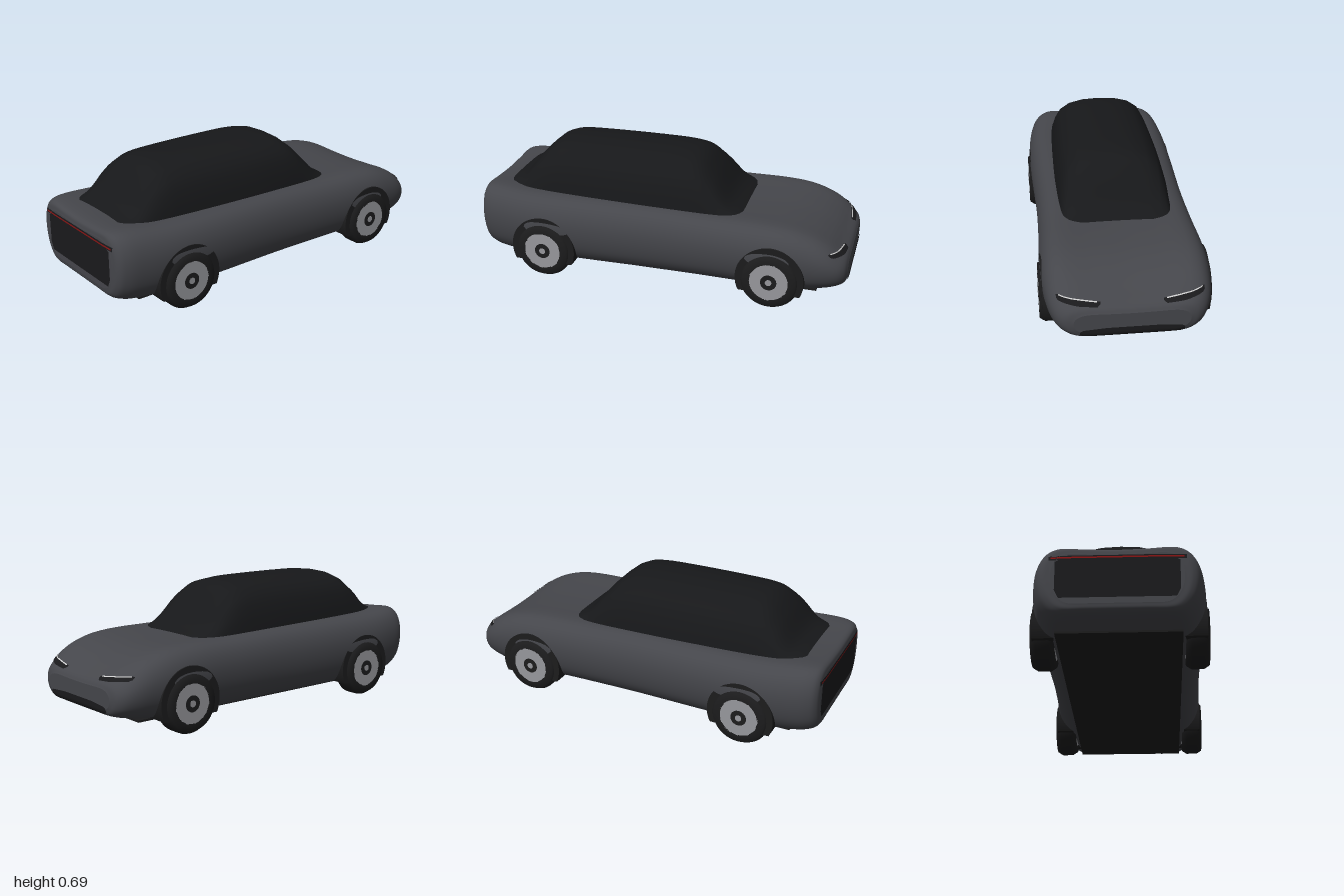
import * as THREE from 'three';

const mat = (color, extra = {}) => new THREE.MeshStandardMaterial({ color, ...extra });
const paint = mat(0x45464b), glass = mat(0x17181a), rubber = mat(0x1c1c1d);
const trim = mat(0x1a1a1c, { side: THREE.DoubleSide }), alloy = mat(0x97989c);
const lamp = mat(0xf2f2f2, { side: THREE.DoubleSide }), red = mat(0x8c1414, { side: THREE.DoubleSide });

function mesh(name, geometry, material) {
  const m = new THREE.Mesh(geometry, material);
  m.name = name;
  return m;
}

// Skins rings that run along +x; closed rings also get end caps
function loft(rings, closed) {
  const pos = [], idx = [], n = rings[0].length, cols = closed ? n : n - 1;
  rings.forEach(r => r.forEach(p => pos.push(...p)));
  for (let i = 0; i < rings.length - 1; i++) {
    for (let j = 0; j < cols; j++) {
      const a = i * n + j, b = i * n + (j + 1) % n;
      idx.push(a, a + n, b, b, a + n, b + n);
    }
  }
  if (closed) {
    [rings[0], rings[rings.length - 1]].forEach((r, end) => {
      const start = pos.length / 3;
      r.forEach(p => pos.push(...p));
      const ys = r.map(p => p[1]);
      pos.push(r[0][0], (Math.min(...ys) + Math.max(...ys)) / 2, 0);
      for (let j = 0; j < n; j++) {
        const a = start + j, b = start + (j + 1) % n;
        idx.push(start + n, ...(end ? [b, a] : [a, b]));
      }
    });
  }
  const g = new THREE.BufferGeometry();
  g.setAttribute('position', new THREE.Float32BufferAttribute(pos, 3));
  g.setIndex(idx);
  g.computeVertexNormals();
  return g;
}

// Smoothly resamples stations of [x, halfWidth, bottom, top]
function sampleStations(stations, count) {
  const curve = f => new THREE.CatmullRomCurve3(stations.map(f), false, 'catmullrom', 0.5);
  const a = curve(s => new THREE.Vector3(s[0], s[1], 0));
  const b = curve(s => new THREE.Vector3(s[2], s[3], 0));
  return Array.from({ length: count + 1 }, (_, i) => {
    const p = a.getPoint(i / count), q = b.getPoint(i / count);
    return [p.x, p.y, q.x, q.y];
  });
}

const ringsFrom = (stations, section) => stations.map(([x, w, b, t]) =>
  section.map(([u, v]) => [x, b + (t - b) * v, w * u]));

function createBody() {
  // Half section as fractions of half width and height
  const half = [[0, 0], [0.4, 0], [0.72, 0.005], [0.83, 0.06], [0.93, 0.2], [0.98, 0.36], [1, 0.55],
    [0.985, 0.72], [0.935, 0.86], [0.86, 0.95], [0.74, 1], [0.4, 0.985], [0, 0.97]];
  const loop = [...half, ...half.slice(1, -1).reverse().map(([u, v]) => [-u, v])];
  const outline = new THREE.CatmullRomCurve3(loop.map(([u, v]) => new THREE.Vector3(u, v, 0)), true);
  const section = outline.getPoints(96).slice(0, -1).map(p => [p.x, p.y]);
  const stations = [
    [-1, 0.31, 0.15, 0.41], [-0.992, 0.35, 0.125, 0.44], [-0.96, 0.38, 0.105, 0.455],
    [-0.88, 0.402, 0.088, 0.458], [-0.7, 0.418, 0.078, 0.447], [-0.4, 0.416, 0.076, 0.442],
    [0, 0.406, 0.076, 0.436], [0.3, 0.41, 0.076, 0.428], [0.55, 0.419, 0.077, 0.425],
    [0.7, 0.418, 0.08, 0.413], [0.81, 0.407, 0.088, 0.385], [0.89, 0.39, 0.098, 0.347],
    [0.95, 0.362, 0.11, 0.303], [0.985, 0.325, 0.122, 0.275], [1, 0.28, 0.14, 0.25]];
  return mesh('body', loft(ringsFrom(sampleStations(stations, 112), section), true), paint);
}

function createCabin() {
  const half = [[1, 0], [0.96, 0.3], [0.89, 0.56], [0.79, 0.76], [0.6, 0.905], [0.33, 0.98], [0, 1]];
  const section = [...half, ...half.slice(0, -1).reverse().map(([u, v]) => [-u, v])];
  const stations = [
    [-0.88, 0.27, 0.41, 0.462], [-0.8, 0.277, 0.41, 0.505], [-0.72, 0.283, 0.41, 0.6],
    [-0.65, 0.287, 0.41, 0.66], [-0.57, 0.291, 0.41, 0.684], [-0.4, 0.297, 0.41, 0.69],
    [-0.1, 0.302, 0.41, 0.69], [0.08, 0.3, 0.41, 0.684], [0.18, 0.297, 0.41, 0.66],
    [0.26, 0.294, 0.41, 0.59], [0.35, 0.29, 0.41, 0.48], [0.43, 0.286, 0.4, 0.425]];
  return mesh('cabinGlass', loft(ringsFrom(sampleStations(stations, 66), section), false), glass);
}

// Strip of spans [z, lowY, highY] laid on the body's nose (dir 1) or tail (dir -1)
function fitStrip(name, body, dir, spans, material, lift = 0.004) {
  const rows = 5, steps = 8, pos = [], idx = [];
  const ray = new THREE.Raycaster();
  const total = (spans.length - 1) * steps;
  for (let i = 0; i <= total; i++) {
    const k = Math.min(Math.floor(i / steps), spans.length - 2), f = i / steps - k;
    const [z, lo, hi] = spans[k].map((v, c) => v + (spans[k + 1][c] - v) * f);
    for (let j = 0; j <= rows; j++) {
      const y = lo + (hi - lo) * j / rows;
      ray.set(new THREE.Vector3(dir * 2, y, z), new THREE.Vector3(-dir, 0, 0));
      const hit = ray.intersectObject(body)[0];
      pos.push((hit ? hit.point.x : dir * 0.9) + dir * lift, y, z);
      if (i < total && j < rows) {
        const a = i * (rows + 1) + j, b = a + rows + 1;
        idx.push(...(dir > 0 ? [a, a + 1, b, b, a + 1, b + 1] : [a, b, a + 1, b, b + 1, a + 1]));
      }
    }
  }
  const g = new THREE.BufferGeometry();
  g.setAttribute('position', new THREE.Float32BufferAttribute(pos, 3));
  g.setIndex(idx);
  g.computeVertexNormals();
  return mesh(name, g, material);
}

function createWheel() {
  const wheel = new THREE.Group();
  wheel.name = 'wheel';
  const w = 0.057;
  const profile = [[0.1, -w], [0.138, -w], [0.155, -0.03], [0.155, 0.03], [0.138, w], [0.1, w]];
  const tyre = new THREE.LatheGeometry(profile.map(p => new THREE.Vector2(...p)), 40);
  wheel.add(mesh('tyre', tyre, rubber));
  // Rim, hub and centre cap as stacked discs
  [['rim', 0.103, 0.114, alloy], ['hub', 0.042, 0.118, rubber], ['centreCap', 0.017, 0.121, alloy]]
    .forEach(([name, r, h, m]) => wheel.add(mesh(name, new THREE.CylinderGeometry(r, r, h, 36), m)));
  wheel.rotation.x = Math.PI / 2;
  return wheel;
}

function createWheelArch() {
  const arc = new THREE.Shape();
  arc.absarc(0, 0, 0.178, -0.45, Math.PI + 0.45, false);
  arc.closePath();
  return mesh('wheelArch', new THREE.ExtrudeGeometry(arc, { depth: 0.12, bevelEnabled: false, curveSegments: 32 }), rubber);
}

export function createModel() {
  const car = new THREE.Group();
  car.name = 'car';
  const body = createBody();
  body.updateMatrixWorld();
  car.add(body, createCabin());

  // Dark floor under the body
  const floor = mesh('floor', new THREE.BoxGeometry(1.7, 0.01, 0.6), rubber);
  floor.position.set(0, 0.079, 0);
  car.add(floor);

  for (const x of [-0.62, 0.62]) {
    for (const side of [-1, 1]) {
      const wheel = createWheel();
      wheel.position.set(x, 0.155, side * 0.372);
      const arch = createWheelArch();
      arch.position.set(x, 0.163, side > 0 ? 0.297 : -0.417);
      car.add(wheel, arch);
    }
  }

  // Slim headlights with a bright upper edge
  for (const s of [-1, 1]) {
    const spans = [[0.15, 0.289, 0.296], [0.165, 0.28, 0.298], [0.25, 0.286, 0.309],
      [0.345, 0.297, 0.319], [0.355, 0.304, 0.316]].map(([z, a, b]) => [s * z, a, b]);
    car.add(fitStrip('headlight', body, 1, spans, trim, 0.005));
    const edge = spans.slice(1, 4).map(([z, , b]) => [z, b - 0.003, b + 0.001]);
    car.add(fitStrip('headlightEdge', body, 1, edge, lamp, 0.008));
  }

  // Lower grille, tail light bar and rear panel
  car.add(fitStrip('grille', body, 1, [[-0.25, 0.14, 0.158], [-0.235, 0.13, 0.166], [-0.12, 0.125, 0.174],
    [0.12, 0.125, 0.174], [0.235, 0.13, 0.166], [0.25, 0.14, 0.158]], trim));
  car.add(fitStrip('rearPanel', body, -1, [[-0.29, 0.22, 0.37], [-0.27, 0.18, 0.38],
    [0.27, 0.18, 0.38], [0.29, 0.22, 0.37]], trim, 0.001));
  car.add(fitStrip('tailLightSurround', body, -1, [[-0.32, 0.378, 0.4], [0.32, 0.378, 0.4]], trim, 0.002));
  car.add(fitStrip('tailLight', body, -1, [[-0.31, 0.385, 0.393], [0.31, 0.385, 0.393]], red, 0.004));
  return car;
}
